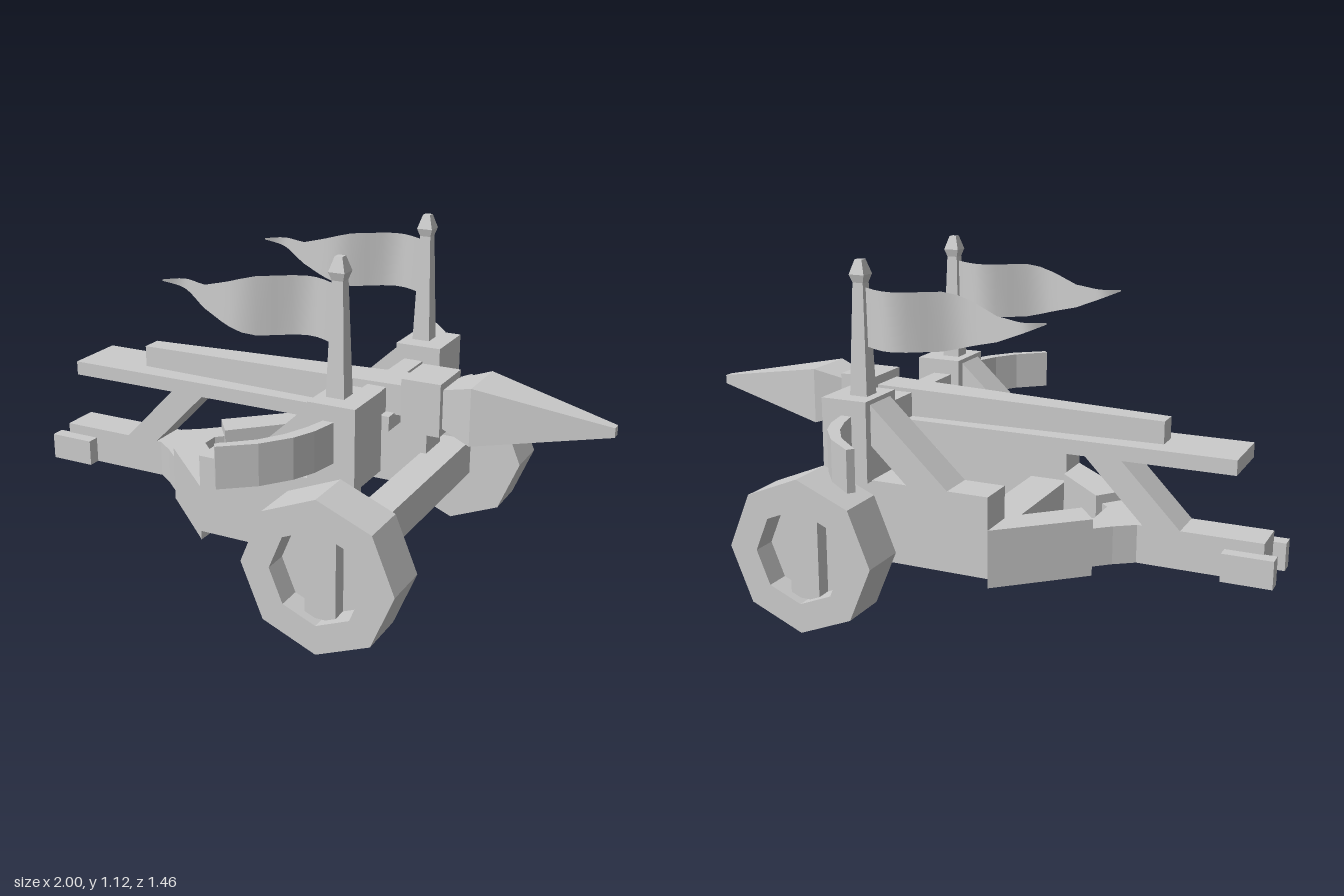
import * as THREE from 'three';

const mat = new THREE.MeshStandardMaterial({ color: 0xcccccc, flatShading: true });
const thinMat = new THREE.MeshStandardMaterial({ color: 0xcccccc, side: THREE.DoubleSide });

export function createModel() {
  const root = new THREE.Group();
  root.name = 'fieldBallista';

  const add = (name, geo, parent = root, material = mat) => {
    const mesh = new THREE.Mesh(geo, material);
    mesh.name = name;
    parent.add(mesh);
    return mesh;
  };

  // Box given by its ranges on each axis
  const block = (name, x0, x1, y0, y1, z0, z1, parent) => {
    const g = new THREE.BoxGeometry(x1 - x0, y1 - y0, Math.abs(z1 - z0));
    g.translate((x0 + x1) / 2, (y0 + y1) / 2, (z0 + z1) / 2);
    return add(name, g, parent);
  };

  const shapeOf = (pts) => new THREE.Shape(pts.map(([a, b]) => new THREE.Vector2(a, b)));

  // Side outline (x, y) extruded between two z values
  const sidePrism = (name, pts, z0, z1, parent) => {
    const g = new THREE.ExtrudeGeometry(shapeOf(pts), { depth: Math.abs(z1 - z0), bevelEnabled: false });
    g.translate(0, 0, Math.min(z0, z1));
    return add(name, g, parent);
  };

  // Plan outline (x, z) extruded between two heights
  const planPrism = (name, pts, y0, y1, parent) => {
    const g = new THREE.ExtrudeGeometry(shapeOf(pts.map(([x, z]) => [x, -z])), { depth: y1 - y0, bevelEnabled: false });
    g.rotateX(-Math.PI / 2);
    g.translate(0, y0, 0);
    return add(name, g, parent);
  };

  // Square spindle along y from [half width, height] pairs
  const spindle = (rows) => {
    const pts = [[0, rows[0][1]], ...rows, [0, rows[rows.length - 1][1]]]
      .map(([h, y]) => new THREE.Vector2(h * Math.SQRT2, y));
    return new THREE.LatheGeometry(pts, 4, Math.PI / 4);
  };

  const octagon = (r) => Array.from({ length: 8 }, (_, i) => {
    const a = (i * Math.PI) / 4;
    return new THREE.Vector2(r * Math.cos(a), r * Math.sin(a));
  });

  // Chassis
  block('axle', 0.28, 0.39, 0.185, 0.31, -0.47, 0.47);
  block('crossBar', -0.2, -0.07, 0.185, 0.31, -0.27, 0.27);
  block('tailBeam', -0.96, -0.42, 0.185, 0.31, -0.065, 0.065);
  sidePrism('railSupport', [[-0.7, 0.31], [-0.58, 0.31], [-0.37, 0.525], [-0.49, 0.525]], -0.065, 0.065);

  // Firing rail and bow centre
  block('slideBoard', -0.875, 0.32, 0.522, 0.57, -0.105, 0.105);
  block('bowCentre', 0.225, 0.29, 0.522, 0.65, -0.24, 0.24);

  // Bolt shaft widens and rises toward the head
  const shaft = new THREE.BoxGeometry(1, 1, 1);
  const p = shaft.attributes.position;
  for (let i = 0; i < p.count; i++) {
    const front = p.getX(i) > 0;
    p.setXYZ(i, front ? 0.36 : -0.63,
      p.getY(i) > 0 ? (front ? 0.665 : 0.642) : 0.565,
      Math.sign(p.getZ(i)) * (front ? 0.065 : 0.035));
  }
  add('boltShaft', shaft);
  block('boltCollar', 0.35, 0.48, 0.523, 0.694, -0.082, 0.085);
  const head = spindle([[0.06, 0.47], [0.093, 0.58], [0.015, 1.0]]);
  head.rotateZ(-Math.PI / 2);
  head.translate(0, 0.608, 0);
  add('boltHead', head);

  // Pennant: rows of x, bottom y, top y, sideways wave
  const makePennant = () => {
    const curve = (k) => new THREE.SplineCurve([
      [0.24, 0], [0.12, -0.05], [-0.05, 0.042], [-0.2, 0], [-0.3, -0.045], [-0.36, -0.01],
    ].map((q) => new THREE.Vector2(...q))).getPoint(k);
    const edge = (x, a, b, c) => (x > -0.02 ? a
      : x > -0.2 ? THREE.MathUtils.mapLinear(x, -0.02, -0.2, a, b)
        : THREE.MathUtils.mapLinear(x, -0.2, -0.36, b, c));
    const n = 20;
    const g = new THREE.PlaneGeometry(1, 1, n, 1);
    const v = g.attributes.position;
    for (let i = 0; i < v.count; i++) {
      const c = curve(0.5 - v.getX(i));
      const y = v.getY(i) > 0 ? edge(c.x, 1.035, 0.98, 0.975) : edge(c.x, 0.853, 0.903, 0.97);
      v.setXYZ(i, c.x, y, c.y);
    }
    g.computeVertexNormals();
    return g;
  };

  for (const s of [1, -1]) {
    const side = new THREE.Group();
    side.name = s > 0 ? 'leftSide' : 'rightSide';
    root.add(side);
    const m = (pts) => pts.map(([x, z]) => [x, z * s]);

    // Frame, diagonal and its sleeve
    block('sideBeam', -0.2, 0.3, 0.185, 0.445, s * 0.26, s * 0.385, side);
    sidePrism('postBrace', [[-0.07, 0.44], [0.07, 0.44], [0.21, 0.57], [0.21, 0.7]], s * 0.26, s * 0.385, side);
    planPrism('diagonalBeam', m([[-0.57, 0.06], [-0.5, 0.11], [-0.2, 0.38], [-0.2, 0.26], [-0.42, 0.06]]), 0.185, 0.31, side);
    planPrism('diagonalSleeve', m([[-0.45, 0.155], [-0.2, 0.385], [-0.2, 0.24], [-0.38, 0.065]]), 0.155, 0.34, side);
    block('tailPlate', -1, -0.84, 0.185, 0.275, s * 0.06, s * 0.108, side);

    // Bow post, arm, pole and pennant
    block('bowPost', 0.195, 0.35, 0.442, 0.7, s * 0.228, s * 0.413, side);
    planPrism('bowArm', m([
      [0.285, 0.4], [0.265, 0.5], [0.235, 0.57], [0.17, 0.655], [0.075, 0.73],
      [0.06, 0.71], [0.15, 0.63], [0.2, 0.555], [0.23, 0.48], [0.25, 0.4],
    ]), 0.522, 0.65, side);
    const pole = add('flagPole', spindle([[0.03, 0.69], [0.018, 1.05], [0.026, 1.075], [0.012, 1.12]]), side);
    pole.position.set(0.255, 0, s * 0.322);
    add('pennant', makePennant(), side, thinMat).position.z = s * 0.322;

    // Eight-sided wheel with a recessed hub face and one upright spoke
    const wheel = new THREE.Group();
    wheel.name = 'wheel';
    wheel.position.set(0.325, 0.248, s * 0.531);
    side.add(wheel);
    const ring = new THREE.Shape(octagon(0.247));
    ring.holes.push(new THREE.Path(octagon(0.152).reverse()));
    const rim = new THREE.ExtrudeGeometry(ring, { depth: 0.16, bevelEnabled: false });
    add('rim', rim, wheel).position.z = -0.08;
    const disc = new THREE.ExtrudeGeometry(new THREE.Shape(octagon(0.155)), { depth: 0.08, bevelEnabled: false });
    add('hubFace', disc, wheel).position.z = s > 0 ? -0.08 : 0;
    block('spoke', -0.05, 0.05, -0.145, 0.145, -0.05, 0.05, wheel);
  }
  return root;
}
